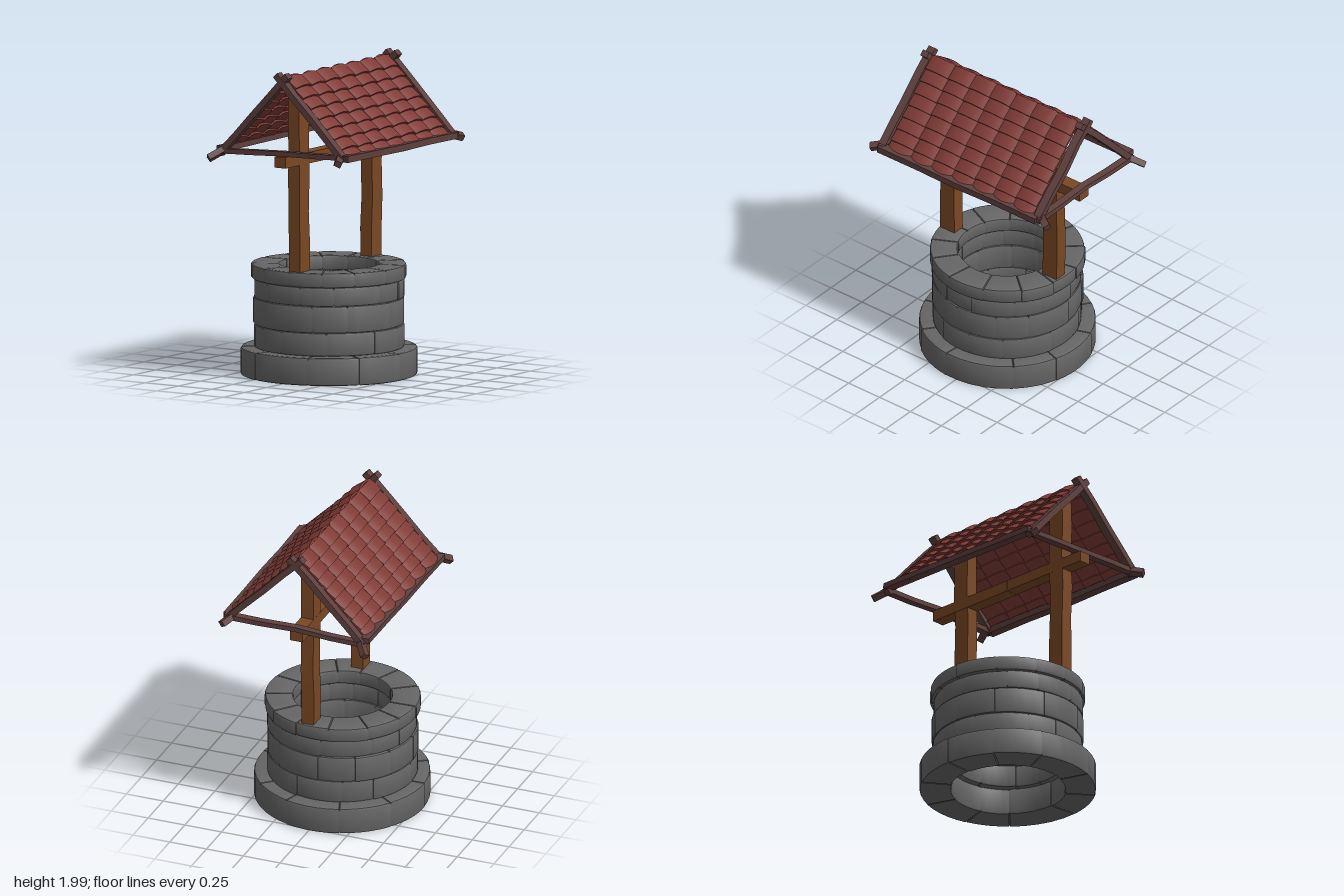
import * as THREE from 'three';
import { toCreasedNormals } from 'three/addons/utils/BufferGeometryUtils.js';

const mat = (name, color) => Object.assign(new THREE.MeshStandardMaterial({ color }), { name });

// small seeded random in -1..1
let seed = 11;
const rnd = () => {
  seed = (seed * 16807) % 2147483647;
  return (seed / 2147483647) * 2 - 1;
};

// bevelled ring segment, angles measured from +z towards +x
function stoneGeometry(rIn, rOut, h, a0, a1) {
  const s = new THREE.Shape();
  const n = 5, b = 0.014;
  const pt = (r, i) => {
    const a = a0 + (a1 - a0) * i / n;
    return [r * Math.sin(a), -r * Math.cos(a)];
  };
  s.moveTo(...pt(rOut, 0));
  for (let i = 1; i <= n; i++) s.lineTo(...pt(rOut, i));
  for (let i = n; i >= 0; i--) s.lineTo(...pt(rIn, i));
  s.closePath();
  const g = new THREE.ExtrudeGeometry(s, {
    depth: h - 2 * b, bevelThickness: b, bevelSize: b, bevelOffset: -b, bevelSegments: 2
  });
  g.translate(0, 0, b);
  g.rotateX(-Math.PI / 2);
  return toCreasedNormals(g, 0.7);
}

// slightly crooked timber from a to b; w is its x size and d its depth
function timber(name, material, a, b, w, d, wobble = 0.005, segs = 4) {
  const A = new THREE.Vector3(...a), B = new THREE.Vector3(...b);
  const len = A.distanceTo(B);
  const g = new THREE.BoxGeometry(w, len, d, 1, segs, 1);
  const off = Array.from({ length: segs + 1 }, () => [rnd() * wobble, rnd() * wobble, 1 + rnd() * wobble * 8]);
  const p = g.attributes.position;
  for (let i = 0; i < p.count; i++) {
    const [ox, oz, k] = off[Math.round((p.getY(i) / len + 0.5) * segs)];
    p.setX(i, p.getX(i) * k + ox);
    p.setZ(i, p.getZ(i) * k + oz);
  }
  g.computeVertexNormals();
  const m = new THREE.Mesh(g, material);
  m.name = name;
  m.position.copy(A).add(B).multiplyScalar(0.5);
  m.quaternion.setFromUnitVectors(new THREE.Vector3(0, 1, 0), B.sub(A).normalize());
  return m;
}

// arched roof tile: x down the slope, y outward, z across
function tileGeometry(length, width) {
  const g = new THREE.BoxGeometry(length, 0.014, width, 1, 1, 6);
  const p = g.attributes.position;
  for (let i = 0; i < p.count; i++) {
    const t = p.getZ(i) / (width / 2);
    p.setY(i, p.getY(i) + 0.018 * (1 - t * t));
  }
  g.computeVertexNormals();
  return g;
}

export function createModel() {
  const model = new THREE.Group();
  model.name = 'well';
  const stone = mat('stone grey', 0x666666);
  const wood = mat('post brown', 0x7a4824);
  const trim = mat('trim dark brown', 0x5e403d);
  const clay = mat('roof tile red', 0x7f3b36);

  // stone courses: name, bottom, top, inner radius, outer radius, stones, start angle
  const wall = new THREE.Group();
  wall.name = 'stoneWall';
  wall.position.set(-0.003, 0, 0.028);
  const courses = [
    ['baseStone', 0.008, 0.185, 0.36, 0.558, 10, -0.28],
    ['lowerStone', 0.183, 0.332, 0.325, 0.472, 11, 0.0],
    ['middleStone', 0.33, 0.502, 0.325, 0.476, 11, -0.3],
    ['upperStone', 0.5, 0.622, 0.325, 0.472, 12, 0.17],
    ['rimStone', 0.62, 0.715, 0.31, 0.489, 13, 0.0]
  ];
  for (const [name, y0, y1, rIn, rOut, n, start] of courses) {
    const step = Math.PI * 2 / n;
    const seams = Array.from({ length: n }, (_, i) => start + step * (i + rnd() * 0.2));
    seams.push(seams[0] + Math.PI * 2);
    for (let i = 0; i < n; i++) {
      const r = rOut + rnd() * 0.005;
      const m = new THREE.Mesh(stoneGeometry(rIn + rnd() * 0.006, r, y1 - y0, seams[i], seams[i + 1]), stone);
      m.name = name;
      m.position.y = y0;
      wall.add(m);
    }
  }
  model.add(wall);

  // posts and the beams running between them
  const cx = 0.042;
  for (const z of [0.445, -0.387]) {
    model.add(timber('post', wood, [cx, 0.69, z], [cx, 1.9, z], 0.083, 0.112, 0.004, 6));
  }
  model.add(timber('crossBeamFront', wood, [cx, 1.432, 0.02], [cx, 1.432, 0.66], 0.084, 0.07, 0.001, 1));
  model.add(timber('crossBeamBack', wood, [cx, 1.432, -0.63], [cx, 1.432, 0.02], 0.086, 0.072, 0.001, 1));
  model.add(timber('ridgeBeam', wood, [cx, 1.865, -0.44], [cx, 1.865, 0.5], 0.07, 0.06, 0.001, 1));

  // gable frames with crossed rafters, flared feet and a tie
  for (const s of [1, -1]) {
    const z = 0.628 * s;
    model.add(timber('rafterLeft', trim, [0.505, 1.475, z], [-0.005, 1.98, z], 0.04, 0.055));
    model.add(timber('rafterRight', trim, [-0.43, 1.452, z], [0.085, 1.98, z], 0.04, 0.05));
    model.add(timber('rafterFootLeft', trim, [0.475, 1.49, 0.635 * s], [0.515, 1.465, 0.715 * s], 0.045, 0.04, 0.001, 1));
    model.add(timber('rafterFootRight', trim, [-0.4, 1.475, 0.635 * s], [-0.46, 1.425, 0.715 * s], 0.045, 0.04, 0.001, 1));
    model.add(timber('tie', trim, [-0.43, 1.472, z], [0.52, 1.49, z], 0.032, 0.05));
  }
  model.add(timber('eaveRailRight', trim, [-0.422, 1.487, -0.63], [-0.422, 1.483, 0.64], 0.06, 0.036, 0.003));
  model.add(timber('eaveRailLeft', trim, [0.508, 1.483, -0.63], [0.508, 1.487, 0.64], 0.062, 0.042, 0.003));

  // tiled roof slopes
  const rows = 8, step = 0.668 / rows;
  const narrow = tileGeometry(step * 1.18, 0.166);
  const wide = tileGeometry(step * 1.18, 0.184);
  for (const side of [1, -1]) {
    const slope = new THREE.Group();
    slope.name = side > 0 ? 'roofSlopeLeft' : 'roofSlopeRight';
    slope.position.set(0.042, 1.952, 0);
    slope.rotation.order = 'YZX';
    slope.rotation.set(0, side > 0 ? 0 : Math.PI, -0.807);
    for (let c = 0; c < 7; c++) {
      const z = c < 6 ? -0.502 + c * 0.1655 : 0.502;
      for (let r = 0; r < rows; r++) {
        const tile = new THREE.Mesh(c < 6 ? narrow : wide, clay);
        tile.name = 'roofTile';
        tile.position.set(step * (r + 0.5) + rnd() * 0.003, 0.006 + rnd() * 0.001, z * side);
        tile.rotation.z = 0.15 + rnd() * 0.015;
        slope.add(tile);
      }
    }
    model.add(slope);
  }
  return model;
}
